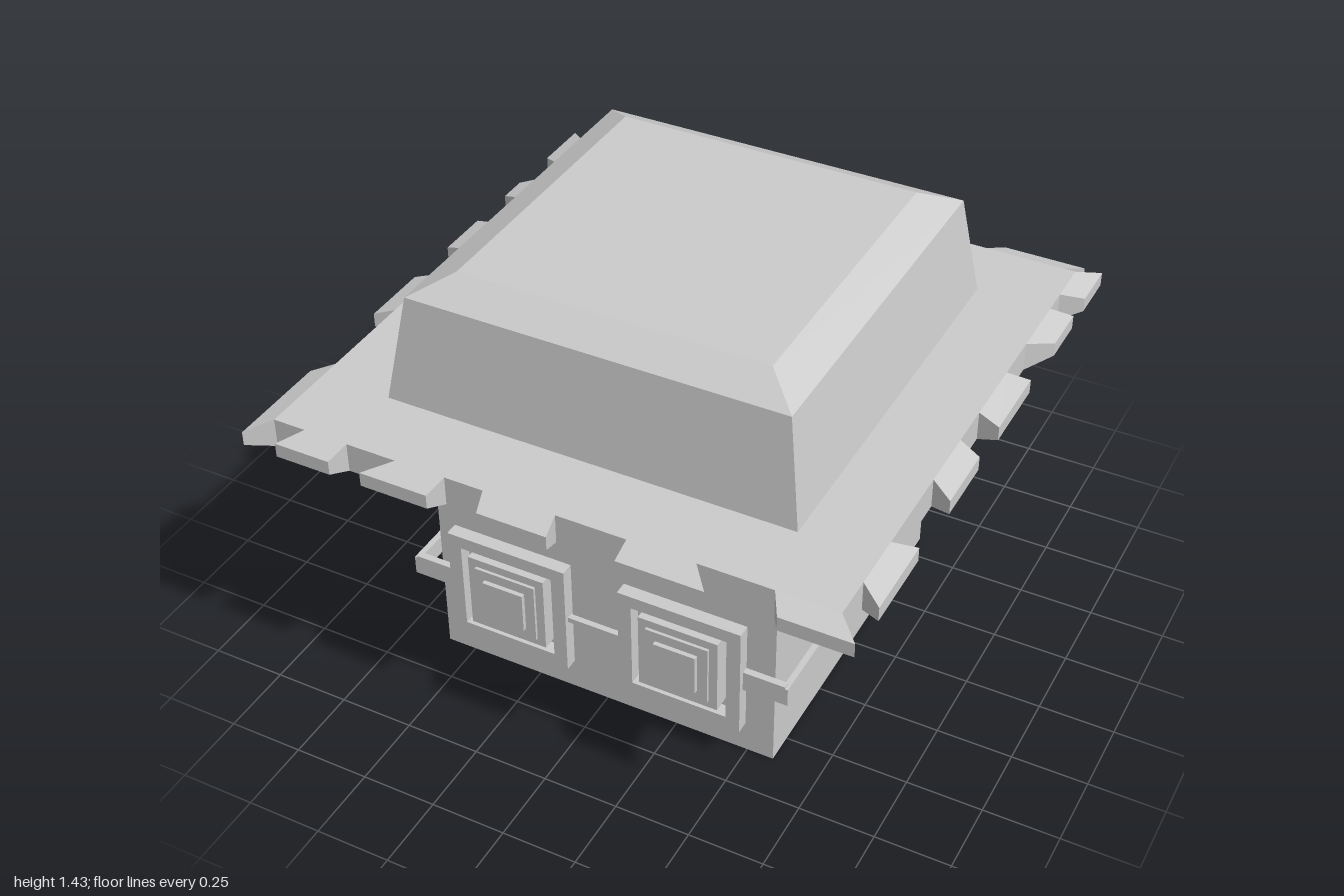
import * as THREE from 'three';
import { ConvexGeometry } from 'three/addons/geometries/ConvexGeometry.js';

const material = new THREE.MeshStandardMaterial({ color: 0xcccccc, flatShading: true });

function add(parent, name, geometry) {
  const mesh = new THREE.Mesh(geometry, material);
  mesh.name = name;
  parent.add(mesh);
  return mesh;
}

// Box given by its lower and upper limits on each axis
function box(parent, name, [x0, x1], [y0, y1], [z0, z1]) {
  const g = new THREE.BoxGeometry(x1 - x0, y1 - y0, z1 - z0);
  g.translate((x0 + x1) / 2, (y0 + y1) / 2, (z0 + z1) / 2);
  return add(parent, name, g);
}

// Side profile of [z, y] points, extruded from x0 to x1
function sideProfile(parent, name, points, x0, x1) {
  const shape = new THREE.Shape(points.map(([z, y]) => new THREE.Vector2(z, y)));
  const g = new THREE.ExtrudeGeometry(shape, { depth: x1 - x0, bevelEnabled: false });
  g.rotateY(-Math.PI / 2).translate(x1, 0, 0);
  return add(parent, name, g);
}

function squareRing(outer, inner, depth) {
  const square = (Type, h) => new Type([
    new THREE.Vector2(-h, -h), new THREE.Vector2(h, -h),
    new THREE.Vector2(h, h), new THREE.Vector2(-h, h),
  ]);
  const shape = square(THREE.Shape, outer);
  shape.holes.push(square(THREE.Path, inner));
  return new THREE.ExtrudeGeometry(shape, { depth, bevelEnabled: false });
}

// Frayed brim teeth per side: [base start, base end, tip start, tip end]
const EDGE = 0.93;
const teeth = {
  front: [[-0.82, -0.67, -0.88, -0.69], [-0.5, -0.33, -0.58, -0.35], [-0.2, 0.04, -0.18, 0.05],
    [0.27, 0.49, 0.27, 0.55], [0.73, EDGE, 0.77, 1]],
  back: [[-0.74, -0.58, -0.8, -0.57], [-0.31, -0.07, -0.37, -0.04], [0.14, 0.35, 0.17, 0.42],
    [0.62, 0.89, 0.66, 0.94]],
  right: [[0.6, 0.79, 0.56, 0.84], [0.08, 0.29, 0.1, 0.33], [-0.3, -0.07, -0.33, -0.06],
    [-0.69, -0.47, -0.72, -0.55], [-EDGE, -0.78, -1, -0.83]],
  left: [[-EDGE, -0.75, -1, -0.8], [-0.63, -0.49, -0.61, -0.51], [-0.31, -0.13, -0.33, -0.14],
    [0.05, 0.28, 0.06, 0.3], [0.61, EDGE, 0.65, 1]],
};
const place = {
  front: (s, y, out) => new THREE.Vector3(s, y, out),
  back: (s, y, out) => new THREE.Vector3(s, y, -out),
  right: (s, y, out) => new THREE.Vector3(out, y, s),
  left: (s, y, out) => new THREE.Vector3(-out, y, s),
};

function buildHat() {
  const hat = new THREE.Group();
  hat.name = 'hat';
  box(hat, 'brim', [-EDGE, EDGE], [0.925, 1.025], [-EDGE, EDGE]);
  for (const side of Object.keys(teeth)) {
    for (const [b0, b1, t0, t1] of teeth[side]) {
      const p = place[side];
      add(hat, 'brimTooth', new ConvexGeometry([
        p(b0, 0.925, EDGE), p(b1, 0.925, EDGE), p(b0, 1.025, EDGE), p(b1, 1.025, EDGE),
        p(t0, 0.952, 1), p(t1, 0.952, 1), p(t0, 1.0, 1), p(t1, 1.0, 1),
      ]));
    }
  }
  // Square crown with a wide bevel round the top
  const profile = [[0.685, 1.02], [0.63, 1.375], [0.515, 1.435], [0, 1.435]]
    .map(([r, y]) => new THREE.Vector2(r * Math.SQRT2, y));
  const crown = add(hat, 'crown', new THREE.LatheGeometry(profile, 4, Math.PI / 4));
  crown.position.set(-0.003, 0, -0.003);
  return hat;
}

function buildGlasses() {
  const glasses = new THREE.Group();
  glasses.name = 'glasses';
  const cy = 0.347;
  for (const cx of [-0.31, 0.297]) {
    const frame = add(glasses, 'lensFrame', squareRing(0.21, 0.163, 0.045));
    frame.scale.y = 0.96;
    frame.position.set(cx, cy, 0.63);
    // Stepped lens: half size and front depth of each layer
    for (const [h, z] of [[0.136, 0.68], [0.107, 0.69], [0.072, 0.705]]) {
      box(glasses, 'lens', [cx - h, cx + h], [cy - h, cy + h], [0.59, z]);
    }
  }
  box(glasses, 'bridge', [-0.105, 0.09], [0.336, 0.354], [0.64, 0.66]);

  // Temple arms, bent down at the back
  const arm = [[0.655, 0.31], [0.655, 0.375], [0.02, 0.37], [-0.1, 0.325], [-0.205, 0.21],
    [-0.212, 0.182], [-0.19, 0.165], [-0.165, 0.18], [-0.07, 0.265], [-0.01, 0.31]].reverse();
  for (const side of [-1, 1]) {
    const x = side * 0.653 - 0.006;
    sideProfile(glasses, 'templeArm', arm, x - 0.01, x + 0.01);
    const ends = [side * 0.495 - 0.006, x].sort((a, b) => a - b);
    box(glasses, 'hinge', ends, [0.31, 0.382], [0.632, 0.655]);
  }
  return glasses;
}

export function createModel() {
  const model = new THREE.Group();
  model.name = 'headWithHat';
  box(model, 'head', [-0.6, 0.59], [0, 0.93], [-0.59, 0.6]);
  // Hair wraps the head, slanting from the brow down to the nape
  sideProfile(model, 'hair',
    [[0.627, 0.93], [-0.615, 0.93], [-0.615, 0.25], [0.627, 0.845]], -0.627, 0.615);
  model.add(buildGlasses(), buildHat());
  return model;
}
